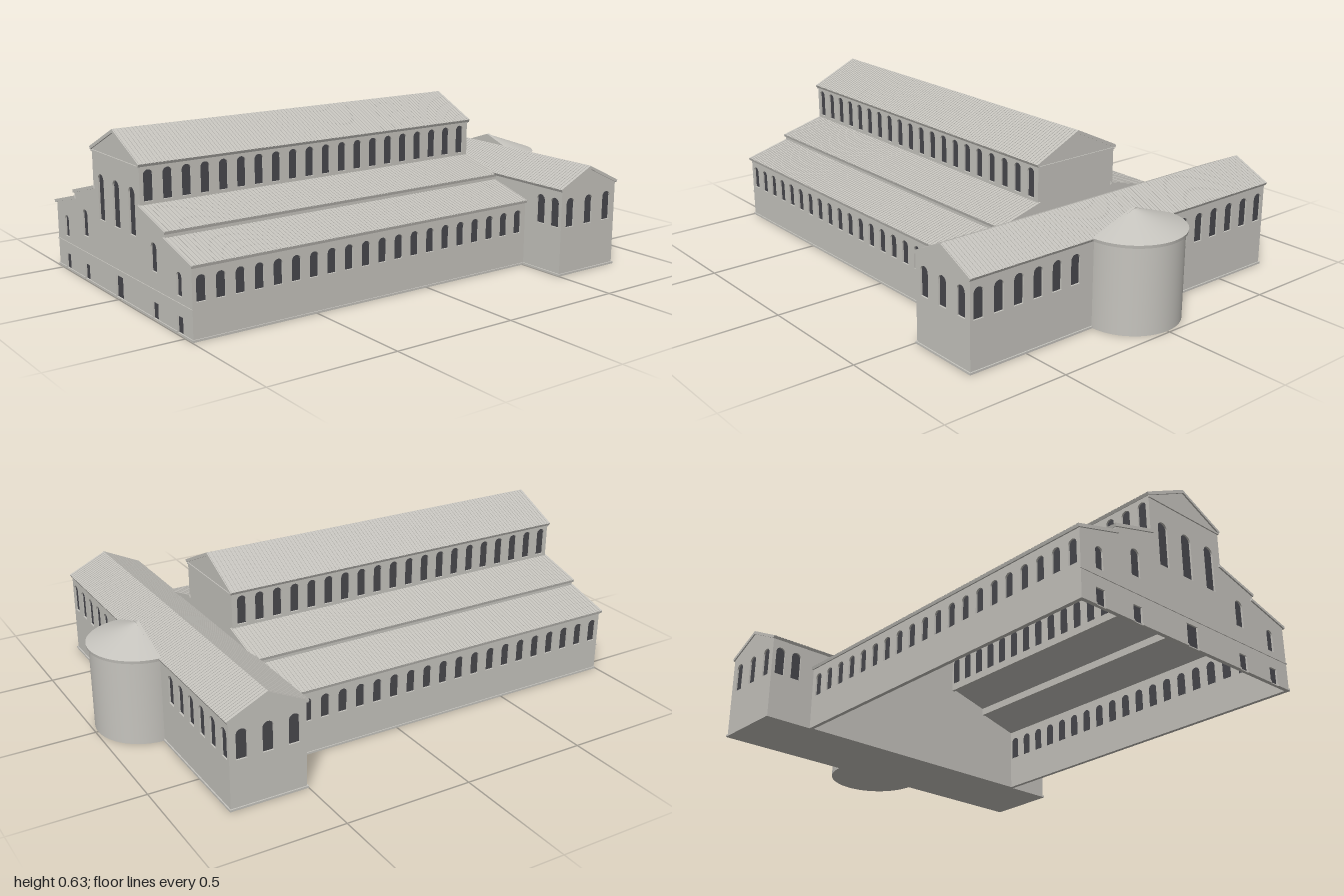
import * as THREE from 'three';

const T = 0.012; // wall and roof thickness
const stone = new THREE.MeshStandardMaterial({ color: 0xc6c4be });
stone.name = 'stone';
const glass = new THREE.MeshStandardMaterial({ color: 0x48484d });
glass.name = 'dark glass';

function add(parent, name, geometry, material = stone) {
  const mesh = new THREE.Mesh(geometry, material);
  mesh.name = name;
  parent.add(mesh);
  return mesh;
}

function box(parent, name, w, h, d, x, y, z) {
  add(parent, name, new THREE.BoxGeometry(w, h, d)).position.set(x, y, z);
}

// Door or round-headed window outline
function trace(path, { x, y0, y1, w, arch = true }) {
  const r = w / 2;
  path.moveTo(x - r, y0);
  path.lineTo(x + r, y0);
  if (arch) {
    path.lineTo(x + r, y1 - r);
    path.absarc(x, y1 - r, r, 0, Math.PI, false);
  } else {
    path.lineTo(x + r, y1);
    path.lineTo(x - r, y1);
  }
  path.closePath();
  return path;
}

// Wall whose outer face is local z = 0, pierced by openings with recessed panes
function wall(parent, name, outline, openings = []) {
  const group = new THREE.Group();
  group.name = name;
  const shape = new THREE.Shape(outline.map(([x, y]) => new THREE.Vector2(x, y)));
  shape.holes = openings.map((o) => trace(new THREE.Path(), o));
  const opts = { depth: T, bevelEnabled: false, curveSegments: 8 };
  add(group, name + 'Stone', new THREE.ExtrudeGeometry(shape, opts).translate(0, 0, -T));
  if (openings.length) {
    const panes = openings.map((o) => trace(new THREE.Shape(), o));
    const geo = new THREE.ExtrudeGeometry(panes, { ...opts, depth: 0.006 });
    add(group, name + 'Panes', geo.translate(0, 0, -T - 0.001), glass);
  }
  parent.add(group);
  return group;
}

const rect = (x0, x1, y0, y1) => [[x0, y0], [x1, y0], [x1, y1], [x0, y1]];

// Ribbed roof slab from its top edge down to its eave
function roof(parent, name, top, eave, length) {
  const s = eave.clone().sub(top);
  const run = s.length();
  s.normalize();
  const u = new THREE.Vector3(0, 1, 0).cross(s).normalize();
  const n = s.clone().cross(u);
  const count = Math.round(length / 0.015);
  const pitch = length / count;
  const shape = new THREE.Shape();
  shape.moveTo(-length / 2, -T);
  shape.lineTo(length / 2, -T);
  for (let i = count; i > 0; i--) {
    const x = -length / 2 + i * pitch;
    shape.lineTo(x, 0);
    shape.lineTo(x - pitch * 0.7, 0);
    shape.lineTo(x - pitch * 0.7, -0.002);
    shape.lineTo(x - pitch, -0.002);
  }
  const geo = new THREE.ExtrudeGeometry(shape, { depth: run, bevelEnabled: false });
  geo.applyMatrix4(new THREE.Matrix4().makeBasis(u, n, s).setPosition(top));
  add(parent, name, geo);
}

export function createModel() {
  const model = new THREE.Group();
  model.name = 'basilica';
  const v = (x, y, z) => new THREE.Vector3(x, y, z);

  // Stepped nave section shared by the facade and the rear wall
  const half = [[0.545, 0], [0.545, 0.262], [0.37, 0.312], [0.37, 0.335], [0.19, 0.385], [0.19, 0.533]];
  const section = [...half, [0, 0.622], ...half.map(([x, y]) => [-x, y]).reverse()];
  const facadeOpenings = [
    { x: 0, y0: 0.27, y1: 0.445, w: 0.052 },
    { x: 0, y0: 0.004, y1: 0.088, w: 0.058, arch: false },
  ];
  for (const m of [1, -1]) {
    facadeOpenings.push(
      { x: m * 0.125, y0: 0.27, y1: 0.445, w: 0.048 },
      { x: m * 0.28, y0: 0.175, y1: 0.28, w: 0.042 },
      { x: m * 0.457, y0: 0.135, y1: 0.22, w: 0.035 },
      { x: m * 0.28, y0: 0.004, y1: 0.065, w: 0.042, arch: false },
      { x: m * 0.457, y0: 0.004, y1: 0.065, w: 0.042, arch: false },
    );
  }
  wall(model, 'facade', section, facadeOpenings).position.z = 0.994;
  const rear = wall(model, 'naveRearWall', section);
  rear.rotation.y = Math.PI;
  rear.position.z = -0.506;

  // Facade mouldings
  box(model, 'stringCourse', 1.094, 0.005, 0.004, 0, 0.11, 0.995);
  box(model, 'frontCornice', 0.385, 0.007, 0.006, 0, 0.525, 0.996);
  box(model, 'rearCornice', 0.385, 0.007, 0.006, 0, 0.525, -0.507);

  // Nave and aisle side walls and roofs, mirrored
  const zBack = -0.505, zFront = 0.99;
  for (const m of [1, -1]) {
    const side = m > 0 ? 'left' : 'right';
    const span = m > 0 ? [-zFront, -zBack] : [zBack, zFront];
    const row = (y0, y1) => Array.from({ length: 20 }, (_, i) => (
      { x: -m * (0.96 - i * 0.075), y0, y1, w: 0.037 }));
    const walls = [
      ['Clerestory', 0.19, 0.37, 0.532, row(0.402, 0.515)],
      ['InnerAisleWall', 0.37, 0.302, 0.334, []],
      ['OuterAisleWall', 0.545, 0, 0.26, row(0.135, 0.228)],
    ];
    for (const [name, x, y0, y1, openings] of walls) {
      const w = wall(model, side + name, rect(...span, y0, y1), openings);
      w.rotation.y = m * Math.PI / 2;
      w.position.x = m * x;
    }
    const zMid = 0.244, len = 1.512;
    roof(model, side + 'NaveRoof', v(0, 0.632, zMid), v(m * 0.2, 0.538, zMid), len);
    roof(model, side + 'InnerAisleRoof', v(m * 0.182, 0.393, zMid), v(m * 0.376, 0.34, zMid), len);
    roof(model, side + 'OuterAisleRoof', v(m * 0.362, 0.319, zMid), v(m * 0.556, 0.266, zMid), len);

    // Plinth pieces between the doors and along the side
    for (const [a, b] of [[0.029, 0.259], [0.301, 0.436], [0.478, 0.547]]) {
      box(model, side + 'FacadePlinth', b - a, 0.008, 0.005, m * (a + b) / 2, 0.004, 0.9955);
    }
    box(model, side + 'AislePlinth', 0.005, 0.008, 1.5, m * 0.5465, 0.004, 0.245);
  }

  // Transept
  const tz = -0.6525;
  const opening = (x) => ({ x, y0: 0.19, y1: 0.305, w: 0.042 });
  wall(model, 'transeptFrontWall', rect(-0.74, 0.74, 0, 0.338),
    [-0.704, -0.63, 0.63, 0.704].map(opening)).position.z = -0.505;
  const backXs = [0, 1, 2, 3, 4, 5].flatMap((i) => [0.705 - i * 0.086, -0.705 + i * 0.086]);
  const back = wall(model, 'transeptBackWall', rect(-0.74, 0.74, 0, 0.338), backXs.map(opening));
  back.rotation.y = Math.PI;
  back.position.z = -0.8;
  const gable = [[-0.1475, 0], [0.1475, 0], [0.1475, 0.338], [0, 0.41], [-0.1475, 0.338]];
  for (const m of [1, -1]) {
    const end = wall(model, (m > 0 ? 'left' : 'right') + 'TranseptGable', gable, [-0.1, 0, 0.1].map(opening));
    end.rotation.y = m * Math.PI / 2;
    end.position.set(m * 0.741, 0, tz);
    roof(model, m > 0 ? 'transeptFrontRoof' : 'transeptBackRoof',
      v(0, 0.42, tz), v(0, 0.345, tz + m * 0.157), 1.492);
  }
  box(model, 'transeptFloor', 1.492, 0.008, 0.305, 0, 0.004, tz);

  // Half-round apse with a half-cone roof
  const halfTurn = [Math.PI / 2, Math.PI];
  add(model, 'apseWall', new THREE.CylinderGeometry(0.19, 0.19, 0.34, 48, 1, false, ...halfTurn))
    .position.set(0, 0.17, -0.8);
  add(model, 'apseEave', new THREE.CylinderGeometry(0.2, 0.198, 0.012, 48, 1, false, ...halfTurn))
    .position.set(0, 0.34, -0.8);
  add(model, 'apseRoof', new THREE.ConeGeometry(0.2, 0.069, 48, 1, false, ...halfTurn))
    .position.set(0, 0.3805, -0.8);
  wall(model, 'apseRoofFront', [[-0.198, 0.336], [0.198, 0.336], [0.198, 0.346], [0, 0.415], [-0.198, 0.346]])
    .position.z = -0.799;

  return model;
}
